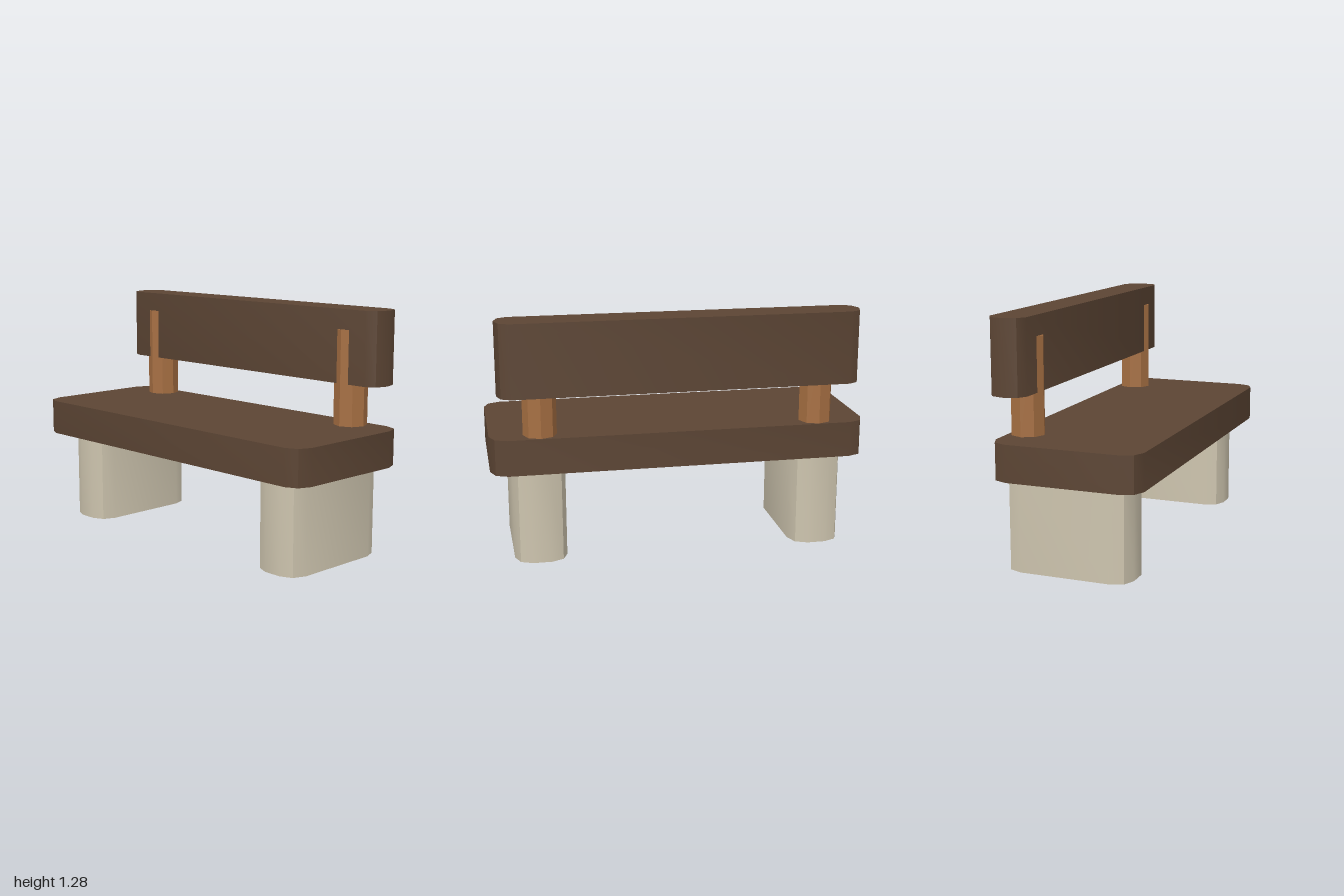
import * as THREE from 'three';
import { toCreasedNormals } from 'three/addons/utils/BufferGeometryUtils.js';

const darkWood = new THREE.MeshStandardMaterial({ color: 0x5c4534 });
darkWood.name = 'darkWood';
const lightWood = new THREE.MeshStandardMaterial({ color: 0xa66f42 });
lightWood.name = 'lightWood';
const stone = new THREE.MeshStandardMaterial({ color: 0xcdc4ae });
stone.name = 'stone';

// Upright slab whose four vertical corners are rounded in two steps
function slab(name, material, [x0, x1], [y0, y1], [z0, z1], rx, rz) {
  const cx = (x0 + x1) / 2, cz = (z0 + z1) / 2;
  const hx = (x1 - x0) / 2 - rx, hz = (z1 - z0) / 2 - rz;
  const points = [];
  for (let corner = 0; corner < 4; corner++) {
    const sx = corner === 0 || corner === 3 ? 1 : -1;
    const sz = corner < 2 ? 1 : -1;
    for (let step = 0; step < 3; step++) {
      const a = (corner + step / 2) * Math.PI / 2;
      points.push(new THREE.Vector2(sx * hx + rx * Math.cos(a), sz * hz + rz * Math.sin(a)));
    }
  }
  const geometry = new THREE.ExtrudeGeometry(new THREE.Shape(points), { depth: y1 - y0, bevelEnabled: false });
  geometry.rotateX(-Math.PI / 2);
  const mesh = new THREE.Mesh(toCreasedNormals(geometry, 0.6), material);
  mesh.name = name;
  mesh.position.set(cx, y0, cz);
  return mesh;
}

export function createModel() {
  const bench = new THREE.Group();
  bench.name = 'bench';

  // Seat and backrest boards
  bench.add(slab('seat', darkWood, [-1, 1], [0.49, 0.68], [-0.375, 0.405], 0.09, 0.095));
  bench.add(slab('backrest', darkWood, [-0.955, 0.955], [0.9, 1.285], [-0.405, -0.21], 0.07, 0.094));

  for (const side of [-1, 1]) {
    const label = side > 0 ? 'left' : 'right';

    // Stone leg
    const xs = side > 0 ? [0.61, 0.888] : [-0.888, -0.61];
    bench.add(slab(label + 'Leg', stone, xs, [0, 0.49], [-0.36, 0.31], 0.09, 0.095));

    // Eight-sided post, its front edge showing through the backrest
    const geometry = new THREE.CylinderGeometry(0.088, 0.088, 0.52, 8);
    const post = new THREE.Mesh(toCreasedNormals(geometry, 0.6), lightWood);
    post.name = label + 'Post';
    post.position.set(side * 0.738, 0.92, -0.282);
    bench.add(post);
  }
  return bench;
}
